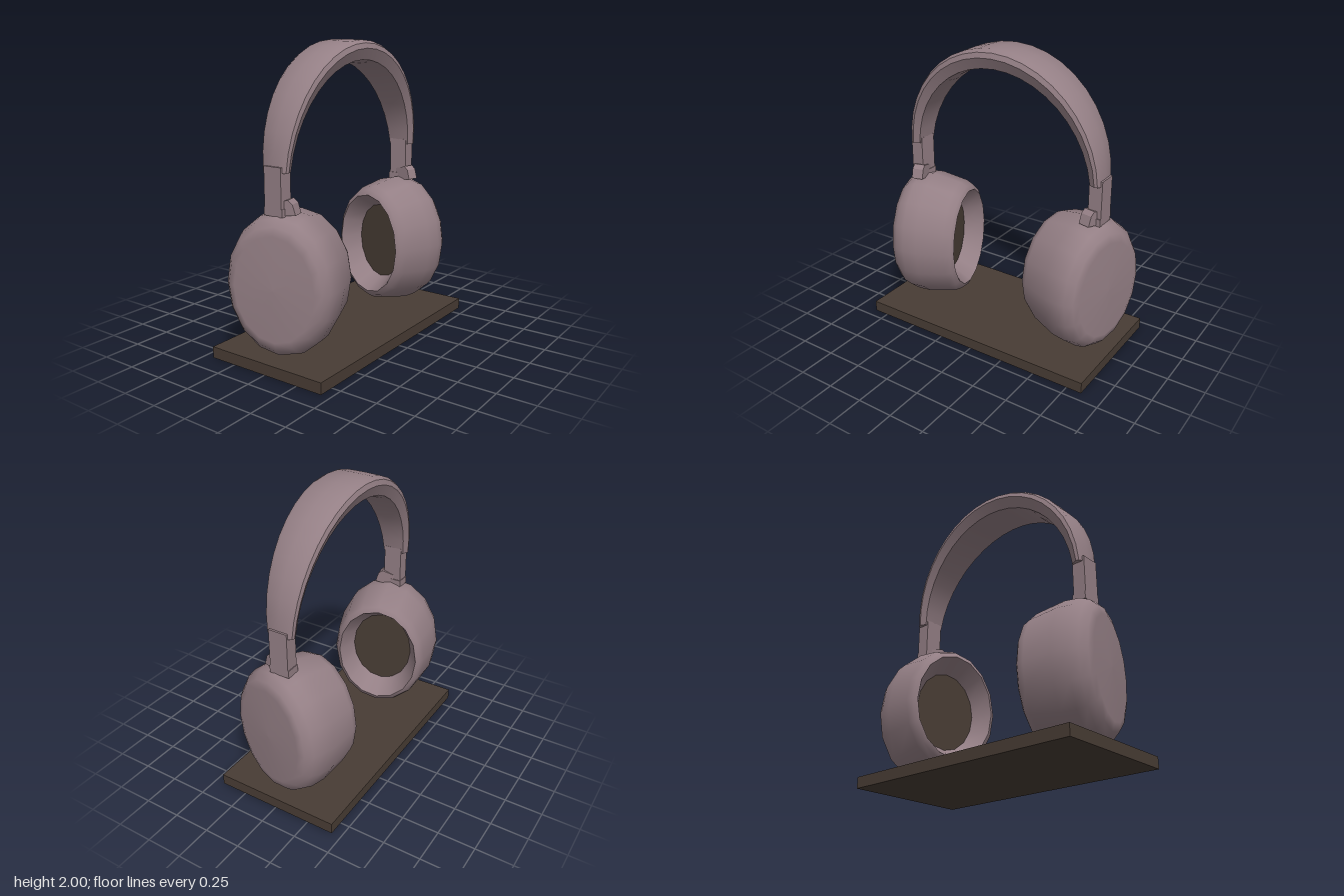
import * as THREE from 'three';
import { toCreasedNormals } from 'three/addons/utils/BufferGeometryUtils.js';

const mauve = new THREE.MeshStandardMaterial({ color: 0x947f85 });
mauve.name = 'mauve shell';
const brown = new THREE.MeshStandardMaterial({ color: 0x483c34 });
brown.name = 'dark brown';

function add(parent, name, geometry, material, x = 0, y = 0, z = 0) {
  const mesh = new THREE.Mesh(geometry, material);
  mesh.name = name;
  mesh.position.set(x, y, z);
  parent.add(mesh);
  return mesh;
}

// Arched band: a crowned cross-section swept over a half ellipse, tapering to its ends
function bandGeometry() {
  // [share of half width, share of thickness measured inward]
  const section = [[1, 0.41], [0.93, 0.16], [0.74, 0.02], [0, 0], [-0.74, 0.02],
    [-0.93, 0.16], [-1, 0.41], [-0.8, 0.95], [0, 1], [0.8, 0.95]];
  const n = section.length, steps = 20, pos = [], index = [];
  for (let i = 0; i <= steps; i++) {
    const a = Math.PI * i / steps, c = Math.cos(a), s = Math.sin(a);
    const half = 0.095 + 0.07 * s, thick = 0.075 + 0.06 * s;
    for (const [u, d] of section) {
      pos.push(u * half, 1.24 + (0.76 - d * thick) * s, (0.735 - d * thick) * c);
    }
  }
  for (let i = 0; i < steps; i++) {
    for (let j = 0; j < n; j++) {
      const a = i * n + j, b = i * n + (j + 1) % n;
      index.push(a, a + n, b, b, a + n, b + n);
    }
  }
  const e = steps * n;
  for (let j = 1; j < n - 1; j++) index.push(0, j, j + 1, e, e + j + 1, e + j);
  const g = new THREE.BufferGeometry();
  g.setAttribute('position', new THREE.Float32BufferAttribute(pos, 3));
  g.setIndex(index);
  return toCreasedNormals(g, 0.62);
}

// Oval turned part: points are [radius, position along the cup axis]
function oval(points) {
  const g = new THREE.LatheGeometry(points.map(([r, w]) => new THREE.Vector2(r, w)), 16);
  g.rotateX(Math.PI / 2);
  g.scale(0.8, 1, 1);
  return g;
}

// One ear cup, its axis turned outward and slightly toward +x
function earCup(side) {
  const cup = new THREE.Group();
  cup.name = side > 0 ? 'frontEarCup' : 'backEarCup';
  cup.position.set(0, 0, 0.6 * side);
  cup.rotation.y = side > 0 ? 0.235 : Math.PI - 0.235;

  add(cup, 'cupShell', oval([[0.36, -0.255], [0.395, -0.237], [0.42, -0.19], [0.46, 0.0],
    [0.457, 0.1], [0.435, 0.16], [0.39, 0.205], [0.335, 0.222], [0, 0.23]]), mauve, 0, 0.54, 0);
  add(cup, 'cushionWall', oval([[0.27, -0.12], [0.36, -0.255]]), mauve, 0, 0.54, 0);
  add(cup, 'speakerCover', oval([[0, -0.121], [0.275, -0.121]]), brown, 0, 0.54, 0);

  // Wedge-shaped hinge on top of the cup
  const wedge = new THREE.Shape([[-0.05, 0.97], [0.11, 0.99], [0.09, 1.055], [0.06, 1.08], [-0.05, 1.05]]
    .map(([x, y]) => new THREE.Vector2(x * side, y)));
  const hinge = new THREE.ExtrudeGeometry(wedge, { depth: 0.08, bevelEnabled: false });
  add(cup, 'hinge', hinge, mauve, 0, 0, 0.05);
  return cup;
}

export function createModel() {
  const model = new THREE.Group();
  model.name = 'headphonesOnStand';

  add(model, 'basePlate', new THREE.BoxGeometry(0.87, 0.075, 1.71), brown, 0, 0.0375, 0);
  add(model, 'headband', bandGeometry(), mauve);

  for (const side of [1, -1]) {
    model.add(earCup(side));
    add(model, 'slider', new THREE.BoxGeometry(0.13, 0.255, 0.09), mauve, 0, 1.1475, 0.7 * side);
    add(model, 'sliderFoot', new THREE.BoxGeometry(0.14, 0.05, 0.095), mauve, 0, 1.0, 0.697 * side);
  }
  return model;
}
